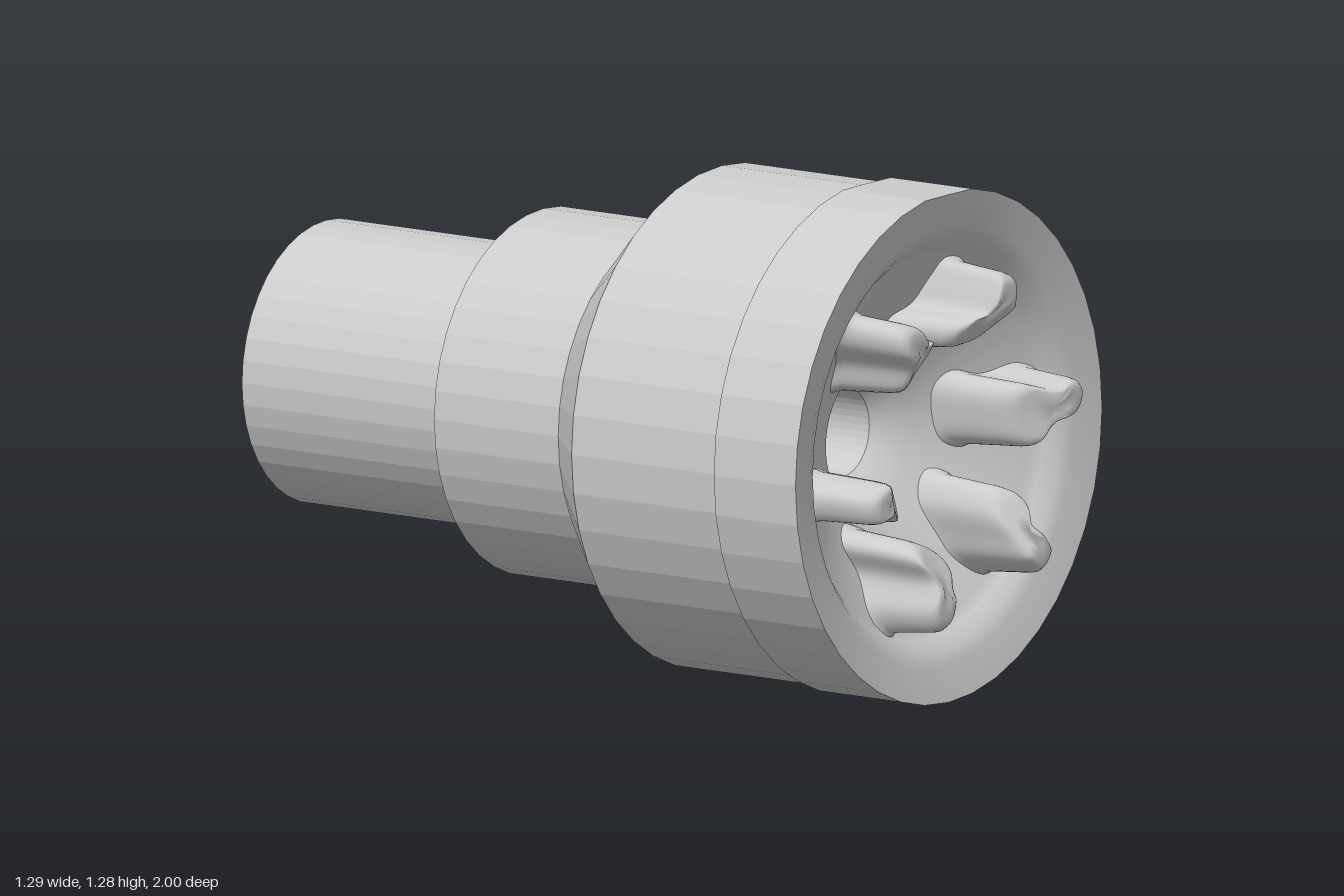
import * as THREE from 'three';

const AXIS_Y = 0.643;
const SEGMENTS = 40;

// Radius / z pairs
const SHELL = [[0.112, -1], [0.355, -1], [0.355, -0.335], [0.46, -0.335], [0.46, 0.045],
  [0.63, 0.21], [0.63, 0.655], [0.643, 0.655], [0.643, 0.905]];
const BOWL = [[0.643, 0.905], [0.555, 0.885], [0.52, 0.868], [0.49, 0.838], [0.47, 0.815],
  [0.18, 0.66], [0.112, 0.58]];
const BORE = [[0.112, 0.58], [0.112, -1]];

// Tooth outlines in the plane across the axis
const SLIM = [[0.11, 0.45], [0.085, 0.4], [0.06, 0.335], [0, 0.31], [-0.02, 0.28], [-0.005, 0.23],
  [0.075, 0.23], [0.14, 0.29], [0.18, 0.34], [0.185, 0.43]];
const BROAD = [[-0.31, 0.375], [-0.335, 0.35], [-0.33, 0.3], [-0.27, 0.235], [-0.245, 0.16],
  [-0.2, 0.145], [-0.14, 0.18], [-0.085, 0.24], [-0.095, 0.295], [-0.18, 0.305], [-0.25, 0.37]];

const smooth = new THREE.MeshStandardMaterial({ color: 0xcccccc });
const faceted = new THREE.MeshStandardMaterial({ color: 0xcccccc, flatShading: true });

// Surface turned around the z axis, with a slight flat along the top of the rim
function turned(name, profile, material) {
  const g = new THREE.LatheGeometry(profile.map(([r, z]) => new THREE.Vector2(r, z)), SEGMENTS);
  g.rotateX(Math.PI / 2);
  const p = g.attributes.position;
  for (let i = 0; i < p.count; i++) p.setY(i, Math.min(p.getY(i), 0.636));
  const mesh = new THREE.Mesh(g, material);
  mesh.name = name;
  return mesh;
}

// Height of the bowl surface at radius r
function bowlZ(r) {
  for (let i = 1; i < BOWL.length; i++) {
    const [r0, z0] = BOWL[i - 1], [r1, z1] = BOWL[i];
    if (r >= r1) return z1 + (z0 - z1) * (r - r1) / (r0 - r1);
  }
  return 0.58;
}

// Crest of a tooth: level outside, sloping down towards the axis
const crestZ = (r) => 1 - 0.75 * Math.max(0, 0.37 - r);

// Tooth lofted from shrinking copies of its outline, from bowl to crest
function toothGeometry(outline) {
  const n = 48;
  const curve = new THREE.CatmullRomCurve3(
    outline.map(([x, y]) => new THREE.Vector3(x, y, 0)), true, 'centripetal');
  const ring = curve.getSpacedPoints(n).slice(0, n);
  const mid = ring.reduce((s, p) => s.add(p), new THREE.Vector3()).divideScalar(n);
  // scale, share of the way from bowl to crest, offset in z
  const layers = [[1.04, 0, -0.02], [0.98, 0, 0.006], [0.91, 0, 0.025], [0.88, 0.25, 0.02],
    [0.82, 0.8, 0], [0.78, 1, -0.018], [0.7, 1, -0.004], [0.58, 1, 0], [0.3, 1, 0], [0, 1, 0]];
  const pos = [], index = [];
  layers.forEach(([s, t, dz], j) => {
    ring.forEach((p, i) => {
      const q = p.clone().sub(mid).multiplyScalar(s).add(mid);
      const r = q.length();
      pos.push(q.x, q.y, THREE.MathUtils.lerp(bowlZ(r), crestZ(r), t) + dz);
      if (j === 0) return;
      const k = (i + 1) % n, a = (j - 1) * n, b = j * n;
      index.push(a + i, a + k, b + k);
      if (s > 0) index.push(a + i, b + k, b + i);
    });
  });
  const g = new THREE.BufferGeometry();
  g.setAttribute('position', new THREE.Float32BufferAttribute(pos, 3));
  g.setIndex(index);
  g.computeVertexNormals();
  // The centre point faces straight ahead
  for (let i = n * (layers.length - 1); i < n * layers.length; i++) g.attributes.normal.setXYZ(i, 0, 0, 1);
  return g;
}

export function createModel() {
  const model = new THREE.Group();
  model.name = 'toothedCup';
  const body = new THREE.Group();
  body.name = 'body';
  body.position.y = AXIS_Y;
  model.add(body);

  body.add(turned('steppedShell', SHELL, faceted));
  body.add(turned('bowl', BOWL, smooth));
  body.add(turned('bore', BORE, faceted));

  // Two tooth shapes, each repeated three times around the axis
  for (const [name, outline] of [['slimTooth', SLIM], ['broadTooth', BROAD]]) {
    const g = toothGeometry(outline);
    for (let i = 0; i < 3; i++) {
      const tooth = new THREE.Mesh(g, smooth);
      tooth.name = name + (i + 1);
      tooth.rotation.z = i * Math.PI * 2 / 3;
      body.add(tooth);
    }
  }
  return model;
}
